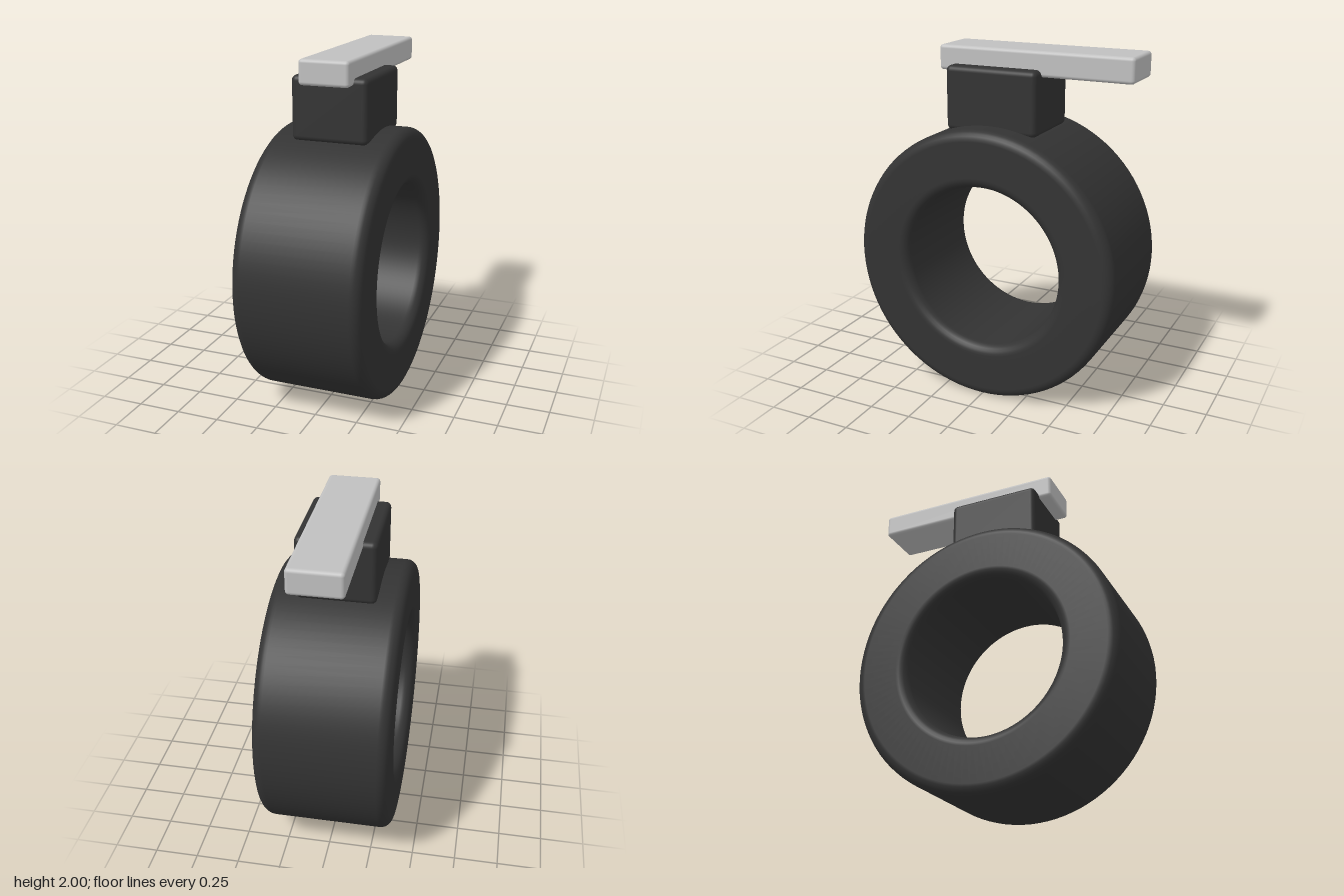
import * as THREE from 'three';
import { RoundedBoxGeometry } from 'three/addons/geometries/RoundedBoxGeometry.js';

const material = (name, color) => {
  const m = new THREE.MeshStandardMaterial({ color });
  m.name = name;
  return m;
};

export function createModel() {
  const group = new THREE.Group();
  group.name = 'ringWithBar';
  const dark = material('charcoal', 0x333333);
  const light = material('lightGrey', 0xc0c0c0);

  const add = (name, geometry, mat, x, y, z) => {
    const mesh = new THREE.Mesh(geometry, mat);
    mesh.name = name;
    mesh.position.set(x, y, z);
    group.add(mesh);
  };

  // Thick ring: rounded rectangular section revolved around the x axis
  const inner = 0.467, outer = 0.791, half = 0.368, r = 0.06;
  const profile = [new THREE.Vector2(inner, 0)];
  const corners = [
    [inner + r, -half + r, Math.PI],
    [outer - r, -half + r, Math.PI * 1.5],
    [outer - r, half - r, 0],
    [inner + r, half - r, Math.PI / 2],
  ];
  for (const [cx, cy, start] of corners) {
    for (let i = 0; i <= 6; i++) {
      const a = start + (i / 6) * Math.PI / 2;
      profile.push(new THREE.Vector2(cx + r * Math.cos(a), cy + r * Math.sin(a)));
    }
  }
  profile.push(new THREE.Vector2(inner, 0));
  const ring = new THREE.LatheGeometry(profile, 96);
  ring.rotateZ(Math.PI / 2);
  add('ring', ring, dark, 0, 0.795, 0);

  // Mounting block on top of the ring
  add('mountBlock', new RoundedBoxGeometry(0.44, 0.36, 0.544, 4, 0.03), dark, 0, 1.72, 0);

  // Flat bar reaching backwards
  add('topBar', new RoundedBoxGeometry(0.288, 0.14, 1.136, 4, 0.02), light, 0, 1.93, -0.22);

  return group;
}
